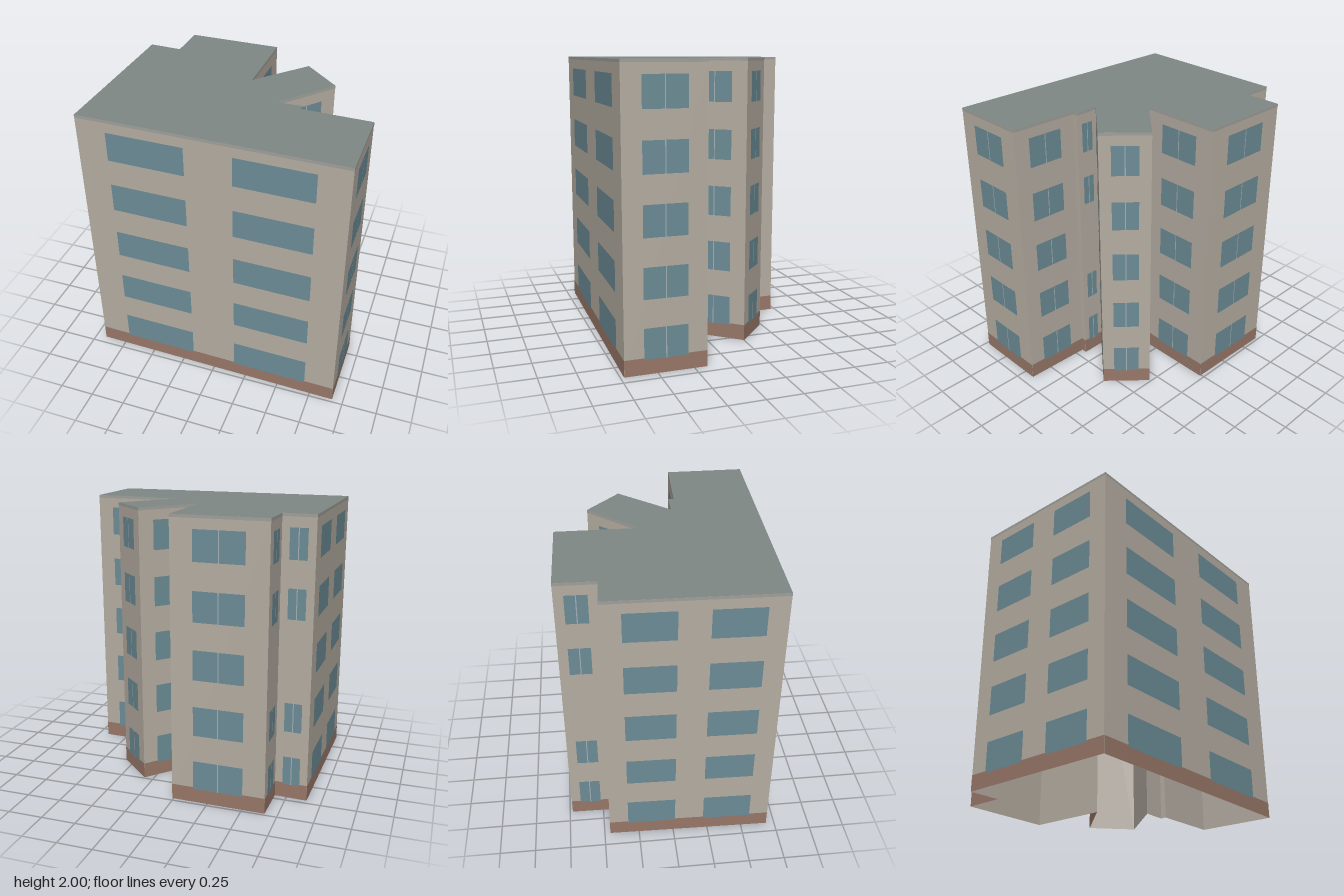
import * as THREE from 'three';

const HEIGHT = 2, FLOORS = 5, STOREY = 0.4;
const WINDOW_HEIGHT = 0.21, WINDOW_SILL = 0.1, PLINTH = 0.112;

// Floor plan as [x, z], walked with the outside on the right
const PLAN = [
  [-0.92, 0.69], [0.92, 0.725], [0.92, 0.16], [0.435, 0.145], [0.435, 0.105],
  [0.265, 0.105], [0.57, -0.25], [0.32, -0.485], [0.005, -0.145], [0.01, -0.72],
  [-0.66, -0.73], [-0.665, -0.45], [-0.895, -0.46],
];

const paint = (color, side = THREE.FrontSide) => {
  const m = new THREE.MeshStandardMaterial({ side });
  m.color.set(color);
  return m;
};

export function createModel() {
  const building = new THREE.Group();
  building.name = 'apartmentBlock';

  const wallPaint = paint(0xb5ada2, THREE.DoubleSide);
  const roofPaint = paint(0x7f8886, THREE.DoubleSide);
  const plinthPaint = paint(0x987768);
  const glassPaint = paint(0x6c8c96);
  const mullionPaint = paint(0xa3b1b4);
  const trimPaint = paint(0x9fa09b);

  // Upright panel on a wall: x along the wall, y from its lower edge
  const panel = (parent, name, material, w, h, x, y, offset) => {
    const mesh = new THREE.Mesh(new THREE.PlaneGeometry(w, h), material);
    mesh.name = name;
    mesh.position.set(x, y + h / 2, offset);
    parent.add(mesh);
  };

  // Facades
  PLAN.forEach(([x0, z0], i) => {
    const [x1, z1] = PLAN[(i + 1) % PLAN.length];
    const length = Math.hypot(x1 - x0, z1 - z0);
    const facade = new THREE.Group();
    facade.name = `facade${i + 1}`;
    facade.position.set((x0 + x1) / 2, 0, (z0 + z1) / 2);
    facade.rotation.y = Math.atan2(z0 - z1, x1 - x0);
    building.add(facade);

    panel(facade, 'wall', wallPaint, length, HEIGHT, 0, 0, 0);
    panel(facade, 'plinth', plinthPaint, length, PLINTH, 0, 0, 0.0015);
    panel(facade, 'roofTrim', trimPaint, length, 0.02, 0, HEIGHT - 0.02, 0.0015);
    if (length < 0.1) return;

    // Long walls carry two wide windows, the others one divided window
    const isLong = length > 1;
    const centres = isLong ? [-0.2365, 0.2365] : [0];
    const width = length * (isLong ? 0.295 : 0.53);
    for (let floor = 0; floor < FLOORS; floor++) {
      if (length < 0.3 && floor === 2) continue; // blank middle storey on narrow walls
      const y = WINDOW_SILL + floor * STOREY;
      for (const c of centres) {
        panel(facade, 'window', glassPaint, width, WINDOW_HEIGHT, c * length, y, 0.003);
        if (!isLong) panel(facade, 'mullion', mullionPaint, 0.007, WINDOW_HEIGHT, 0, y, 0.0045);
      }
    }
  });

  // Flat roof
  const outline = new THREE.Shape(PLAN.map(([x, z]) => new THREE.Vector2(x, -z)));
  const roof = new THREE.Mesh(new THREE.ShapeGeometry(outline), roofPaint);
  roof.name = 'roof';
  roof.rotation.x = -Math.PI / 2;
  roof.position.y = HEIGHT;
  building.add(roof);

  return building;
}
